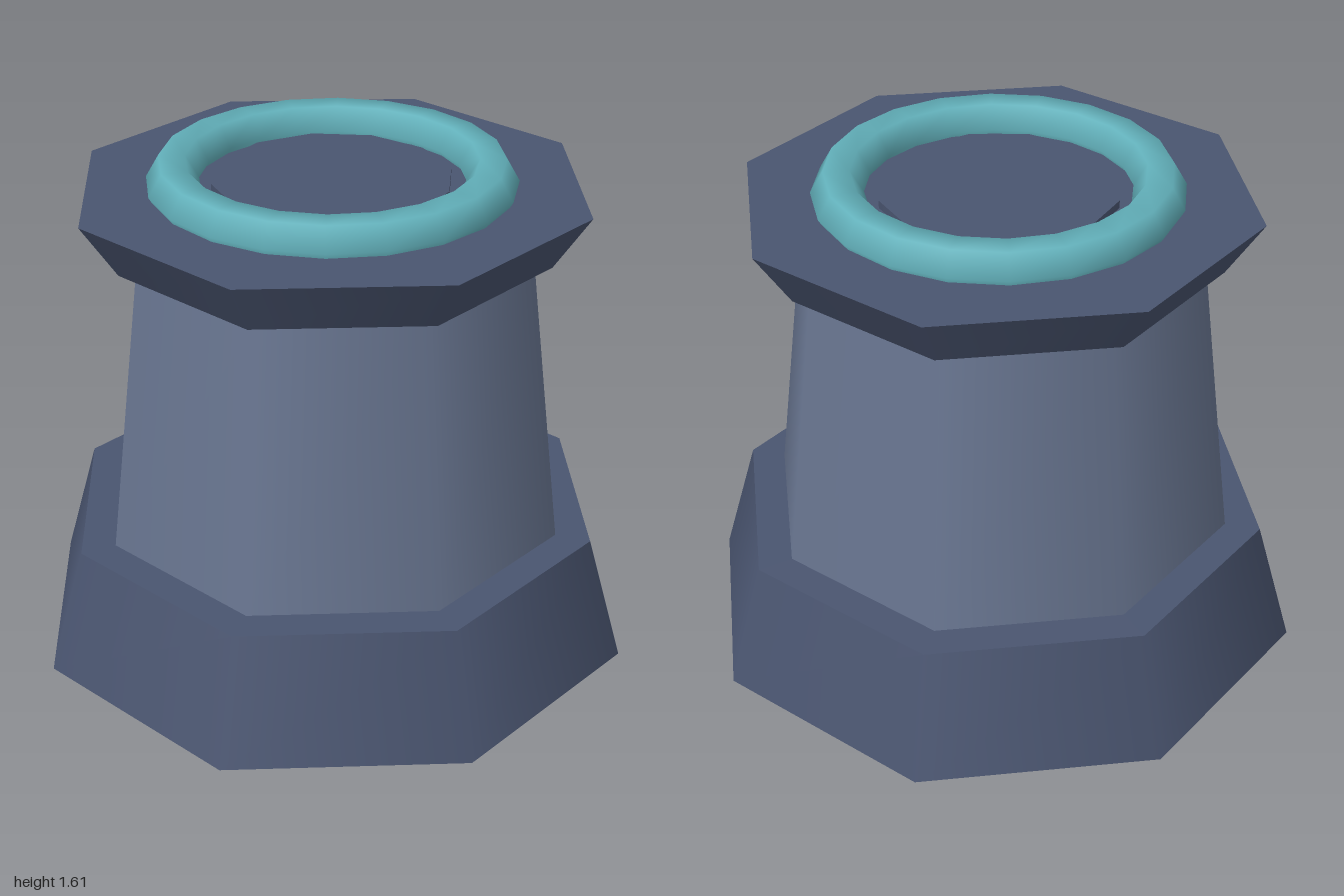
import * as THREE from 'three';

export function createModel() {
  const model = new THREE.Group();
  const paint = (color) => new THREE.MeshStandardMaterial({ color });
  const dark = paint(0x4a5570);
  const mid = paint(0x687590);
  const teal = paint(0x62b0ba);

  // Tapered, smooth-shaded prism standing between two heights
  function frustum(name, topRadius, bottomRadius, y0, y1, sides, material) {
    const geometry = new THREE.CylinderGeometry(topRadius, bottomRadius, y1 - y0, sides);
    const mesh = new THREE.Mesh(geometry, material);
    mesh.name = name;
    mesh.position.y = (y0 + y1) / 2;
    model.add(mesh);
  }

  // Octagonal plinth, column and flared cap
  frustum('base', 0.88, 1.0, 0, 0.41, 8, dark);
  frustum('column', 0.65, 0.765, 0.41, 1.345, 8, mid);
  frustum('cap', 0.82, 0.705, 1.345, 1.52, 8, dark);

  // Low plate inside the ring
  frustum('centrePlate', 0.375, 0.375, 1.52, 1.545, 12, dark);

  // Ring half sunk into the cap
  const ring = new THREE.Mesh(new THREE.TorusGeometry(0.493, 0.082, 6, 20), teal);
  ring.name = 'ring';
  ring.rotation.x = -Math.PI / 2;
  ring.position.y = 1.537;
  model.add(ring);

  return model;
}
